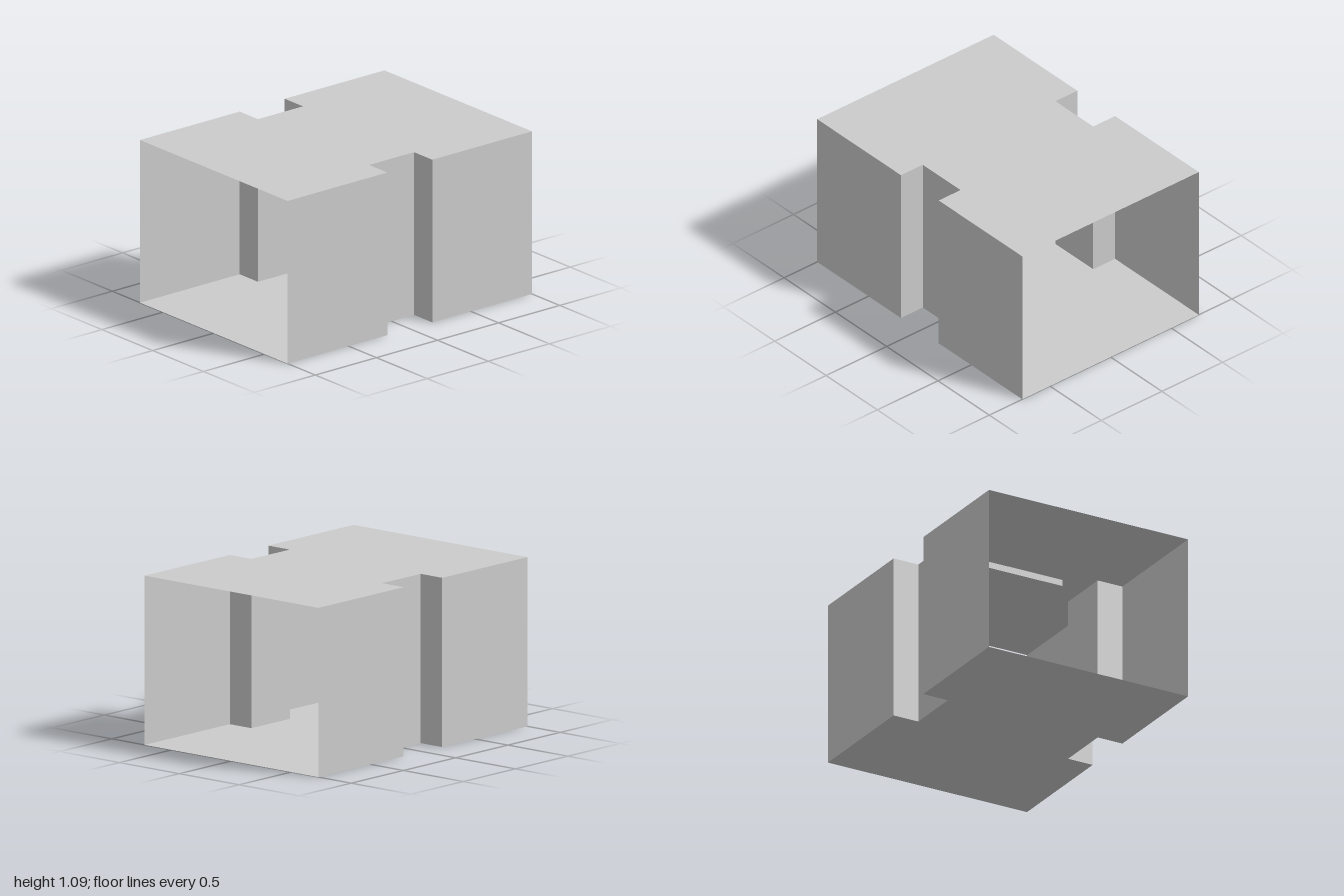
import * as THREE from 'three';

const H = 1.09, X = 1, Z = 0.727, NX = 0.184, NZ = 0.547;

export function createModel() {
  const group = new THREE.Group();
  const mat = new THREE.MeshStandardMaterial({ color: 0xcccccc, side: THREE.DoubleSide });
  const add = (name, geometry, parent = group) => {
    const mesh = new THREE.Mesh(geometry, mat);
    mesh.name = name;
    parent.add(mesh);
    return mesh;
  };

  // Long side profile in plan, stepping inwards at the middle
  const side = [[-X, Z], [-NX, Z], [-NX, NZ], [NX, NZ], [NX, Z], [X, Z]];
  const outline = [...side, ...side.map(([x, z]) => [-x, -z])];

  // Floor and roof panels share the notched outline
  const shape = new THREE.Shape(outline.map(([x, z]) => new THREE.Vector2(x, -z)));
  add('floor', new THREE.ShapeGeometry(shape).rotateX(Math.PI / 2).scale(1, 1, -1));
  add('roof', new THREE.ShapeGeometry(shape).rotateX(-Math.PI / 2).translate(0, H, 0));

  // Front and back walls made of flat panels; both ends stay open
  for (const [name, turn] of [['frontWall', 0], ['backWall', Math.PI]]) {
    const wall = new THREE.Group();
    wall.name = name;
    wall.rotation.y = turn;
    for (let i = 0; i < side.length - 1; i++) {
      const [x0, z0] = side[i], [x1, z1] = side[i + 1];
      const panel = add('wallPanel', new THREE.PlaneGeometry(Math.hypot(x1 - x0, z1 - z0), H), wall);
      panel.position.set((x0 + x1) / 2, H / 2, (z0 + z1) / 2);
      panel.rotation.y = -Math.atan2(z1 - z0, x1 - x0);
    }
    group.add(wall);
  }

  // Slim bar under the middle of the roof
  add('ceilingBar', new THREE.BoxGeometry(0.16, 0.042, 0.705)).position.set(0, H - 0.022, 0);

  return group;
}
